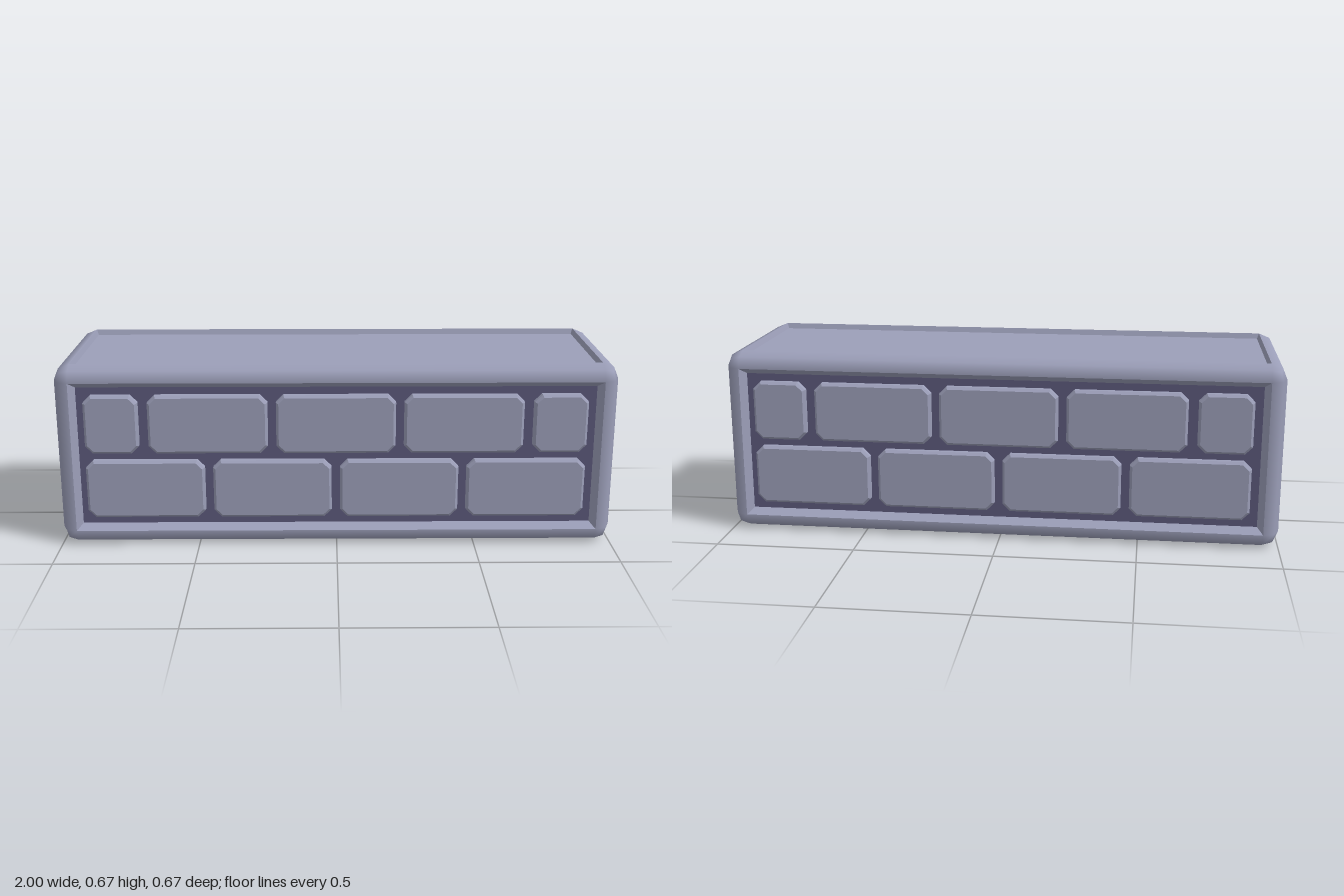
import * as THREE from 'three';
import { RoundedBoxGeometry } from 'three/addons/geometries/RoundedBoxGeometry.js';

const LENGTH = 2, SIZE = 0.667, RADIUS = 0.057;

const material = (name, color, side = THREE.FrontSide) => {
  const m = new THREE.MeshStandardMaterial({ color, side });
  m.name = name;
  return m;
};

const mesh = (name, geometry, mat) => {
  const m = new THREE.Mesh(geometry, mat);
  m.name = name;
  return m;
};

// Rounded box with its six flat faces removed, leaving only the soft edges
function frameGeometry() {
  const box = new RoundedBoxGeometry(LENGTH, SIZE, SIZE, 1, RADIUS);
  const src = box.index ? box.toNonIndexed() : box;
  const p = src.attributes.position, n = src.attributes.normal;
  const positions = [], normals = [];
  const normal = (i) => new THREE.Vector3().fromBufferAttribute(n, i);
  for (let i = 0; i < p.count; i += 3) {
    const a = normal(i);
    if (a.distanceTo(normal(i + 1)) < 1e-3 && a.distanceTo(normal(i + 2)) < 1e-3) continue;
    for (let j = i; j < i + 3; j++) {
      positions.push(p.getX(j), p.getY(j), p.getZ(j));
      normals.push(n.getX(j), n.getY(j), n.getZ(j));
    }
  }
  const g = new THREE.BufferGeometry();
  g.setAttribute('position', new THREE.Float32BufferAttribute(positions, 3));
  g.setAttribute('normal', new THREE.Float32BufferAttribute(normals, 3));
  return g;
}

// Four sloping walls that lead from the opening down to the recessed panel
function wallGeometry(w, h, inset, depth) {
  const corners = [[-1, -1], [1, -1], [1, 1], [-1, 1]];
  const outer = corners.map(([x, y]) => [x * w / 2, y * h / 2, 0]);
  const inner = corners.map(([x, y]) => [x * (w / 2 - inset), y * (h / 2 - inset), -depth]);
  const positions = [];
  for (let i = 0; i < 4; i++) {
    const k = (i + 1) % 4;
    positions.push(...outer[i], ...outer[k], ...inner[k], ...outer[i], ...inner[k], ...inner[i]);
  }
  const g = new THREE.BufferGeometry();
  g.setAttribute('position', new THREE.Float32BufferAttribute(positions, 3));
  g.computeVertexNormals();
  return g;
}

// Brick with cut corners and a bevelled front edge, standing on z = 0
function brickGeometry(w, h, height) {
  const bevel = 0.009, cut = 0.022;
  const x = w / 2 - bevel, y = h / 2 - bevel;
  const shape = new THREE.Shape([
    [-x + cut, -y], [x - cut, -y], [x, -y + cut], [x, y - cut],
    [x - cut, y], [-x + cut, y], [-x, y - cut], [-x, -y + cut],
  ].map(([a, b]) => new THREE.Vector2(a, b)));
  const g = new THREE.ExtrudeGeometry(shape, {
    depth: height - bevel, bevelEnabled: true, bevelThickness: bevel, bevelSize: bevel, bevelSegments: 1,
  });
  return g;
}

export function createModel() {
  const stone = material('pale stone', 0x9c9fb9);
  const mortar = material('dark mortar', 0x5c597c);
  const model = new THREE.Group();
  model.name = 'brickBlock';

  const frame = mesh('roundedFrame', frameGeometry(), stone);
  frame.position.y = SIZE / 2;
  model.add(frame);

  // Recessed face, built facing +z
  const recess = (name, w, inset, depth, panelMaterial) => {
    const h = SIZE - 2 * RADIUS;
    const group = new THREE.Group();
    group.name = name;
    const panel = mesh('panel', new THREE.PlaneGeometry(w - 2 * inset, h - 2 * inset), panelMaterial);
    panel.position.z = -depth;
    group.add(mesh('recessWalls', wallGeometry(w, h, inset, depth), stone), panel);
    group.position.y = SIZE / 2;
    model.add(group);
    return group;
  };

  // Brick rows: [start, end] along the face
  const lower = [0.107, 0.322], upper = [0.349, 0.563];
  const longRows = [
    [lower, [[-0.898, -0.473], [-0.443, -0.018], [0.012, 0.437], [0.467, 0.892]]],
    [upper, [[-0.896, -0.704], [-0.67, -0.245], [-0.215, 0.21], [0.24, 0.665], [0.7, 0.892]]],
  ];
  const endRows = [
    [lower, [[-0.229, 0.229]]],
    [upper, [[-0.229, -0.014], [0.014, 0.229]]],
  ];

  // Four brick walls around the block
  const depth = 0.03;
  ['frontWall', 'leftWall', 'backWall', 'rightWall'].forEach((name, i) => {
    const isEnd = i % 2 === 1;
    const face = recess(name, (isEnd ? SIZE : LENGTH) - 2 * RADIUS, 0.021, depth, mortar);
    for (const [[y0, y1], bricks] of isEnd ? endRows : longRows) {
      for (const [x0, x1] of bricks) {
        const brick = mesh('brick', brickGeometry(x1 - x0, y1 - y0, depth - 0.003), stone);
        brick.position.set((x0 + x1) / 2, (y0 + y1 - SIZE) / 2, -depth);
        face.add(brick);
      }
    }
    const angle = i * Math.PI / 2, d = (isEnd ? LENGTH : SIZE) / 2;
    face.rotation.y = angle;
    face.position.x = Math.sin(angle) * d;
    face.position.z = Math.cos(angle) * d;
  });

  // Plain recessed top and underside
  for (const [name, sign] of [['topSlab', 1], ['undersideSlab', -1]]) {
    const face = recess(name, LENGTH - 2 * RADIUS, 0.007, 0.02, stone);
    face.rotation.x = -sign * Math.PI / 2;
    face.position.y += sign * SIZE / 2;
  }
  return model;
}
